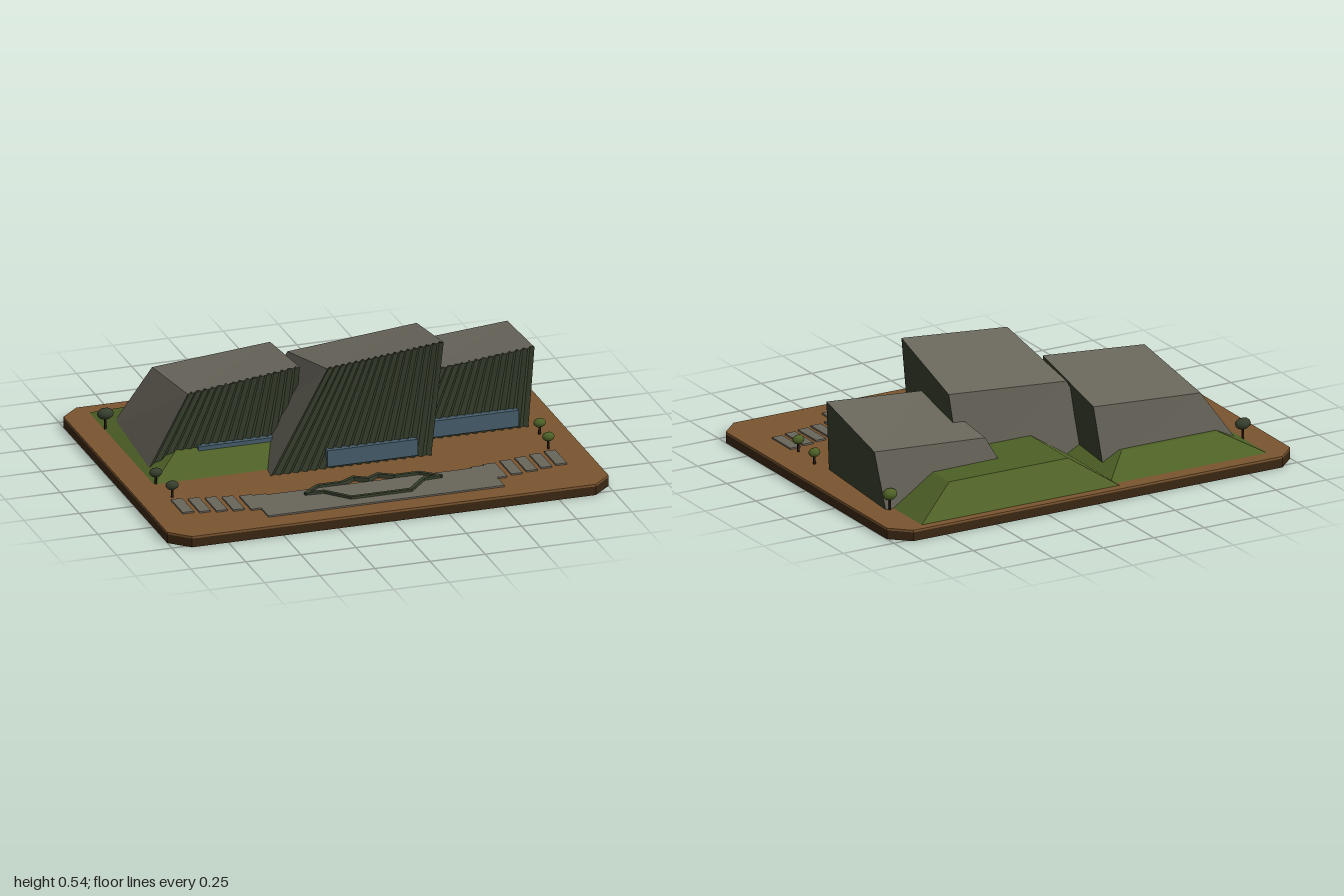
import * as THREE from 'three';

const mat = (name, color) => Object.assign(new THREE.MeshStandardMaterial({ color }), { name });

export function createModel() {
  const soil = mat('brown soil', 0x7b552f);
  const earth = mat('dark earth', 0x3a2713);
  const concrete = mat('warm grey concrete', 0x69665b);
  const cladding = mat('dark green cladding', 0x373f2d);
  const grass = mat('grass green', 0x4e6126);
  const glass = mat('blue grey glass', 0x455c6a);
  const bark = mat('dark bark', 0x241a10);
  const model = new THREE.Group();
  model.name = 'buildingSite';

  const add = (name, geometry, material, parent = model) => {
    const mesh = new THREE.Mesh(geometry, material);
    mesh.name = name;
    parent.add(mesh);
    return mesh;
  };

  // Flat faced surface from a list of four cornered faces
  const faces = (quads) => {
    const g = new THREE.BufferGeometry();
    const pos = quads.flatMap(([a, b, c, d]) => [a, b, c, a, c, d].flat());
    g.setAttribute('position', new THREE.Float32BufferAttribute(pos, 3));
    g.computeVertexNormals();
    return g;
  };

  // Horizontal slab from an outline of [x, z] points
  const slab = (outline, y0, y1) => {
    const shape = new THREE.Shape(outline.map(([x, z]) => new THREE.Vector2(x, -z)));
    return new THREE.ExtrudeGeometry(shape, { depth: y1 - y0, bevelEnabled: false })
      .rotateX(-Math.PI / 2).translate(0, y0, 0);
  };

  // Ground plate with cut corners
  const plate = [[-0.915, 0.77], [0.915, 0.77], [1, 0.69], [1, -0.69],
    [0.915, -0.77], [-0.915, -0.77], [-1, -0.69], [-1, 0.69]];
  add('baseBody', slab(plate, 0, 0.04), earth);
  add('groundTop', slab(plate, 0.04, 0.05), soil);

  // Grass mounds: rectangles [x0, x1, z0, z1] at the foot and the top
  const mound = (name, foot, top, height) => {
    const ring = ([x0, x1, z0, z1], y) => [[x0, y, z1], [x1, y, z1], [x1, y, z0], [x0, y, z0]];
    const a = ring(foot, 0.05), b = ring(top, height);
    const quads = a.map((p, i) => [p, a[(i + 1) % 4], b[(i + 1) % 4], b[i]]);
    add(name, faces([...quads, b]), grass);
  };
  mound('rightMound', [-0.88, -0.1, -0.7, 0.16], [-0.73, -0.25, -0.54, 0.005], 0.125);
  mound('rearMound', [-0.13, 0.85, -0.73, -0.1], [0.06, 0.65, -0.62, -0.25], 0.175);

  // Leaning halls; corners run front left, front right, back right, back left on screen
  const lerp = (a, b, t) => a.map((v, i) => v + (b[i] - v) * t);
  const hall = (name, foot, top, teeth, win) => {
    const group = new THREE.Group();
    group.name = name;
    model.add(group);
    const [FL, FR, BR, BL] = foot.map(([x, z]) => [x, 0.05, z]);
    const [fl, fr, br, bl] = top;
    add('roofAndPlainWalls', faces([
      [fl, fr, br, bl], [BR, BL, bl, br], [BL, FL, fl, bl],
    ]), concrete, group);
    // Front wall folded into upright ribs
    const ribs = [];
    const n = teeth * 2;
    const point = (a, b, i) => {
      const p = lerp(a, b, i / n);
      if (i % 2) p[2] -= 0.016;
      return p;
    };
    for (let i = 0; i < n; i++) {
      ribs.push([point(FL, FR, i), point(FL, FR, i + 1), point(fl, fr, i + 1), point(fl, fr, i)]);
    }
    add('ribbedFront', faces(ribs), cladding, group);
    add('sideWall', faces([[FR, BR, br, fr]]), cladding, group);
    // Long low window
    const [x0, x1, z] = win;
    add('window', new THREE.BoxGeometry(x1 - x0, 0.075, 0.03), glass, group)
      .position.set((x0 + x1) / 2, 0.0985, z - 0.015);
  };
  hall('centreHall',
    [[-0.375, 0.235], [0.352, 0.235], [0.405, -0.3], [-0.3, -0.3]],
    [[-0.1, 0.49, 0.18], [0.43, 0.54, 0.17], [0.47, 0.44, -0.305], [-0.12, 0.39, -0.295]],
    18, [-0.12, 0.29, 0.24]);
  hall('rightHall',
    [[-0.86, 0.015], [-0.21, 0.015], [-0.17, -0.525], [-0.84, -0.525]],
    [[-0.665, 0.37, -0.02], [-0.15, 0.42, -0.04], [-0.12, 0.345, -0.525], [-0.66, 0.305, -0.51]],
    16, [-0.63, -0.25, 0.02]);
  hall('leftHall',
    [[0.22, 0.065], [0.85, 0.065], [0.89, -0.49], [0.25, -0.475]],
    [[0.4, 0.345, 0.015], [0.9, 0.39, 0], [0.94, 0.32, -0.48], [0.385, 0.28, -0.47]],
    16, [0.395, 0.805, 0.07]);

  // Plaza with stepped ends
  const half = [[0.535, 0.67], [0.535, 0.575], [0.58, 0.575], [0.58, 0.415],
    [0.525, 0.415], [0.525, 0.427], [0.465, 0.427], [0.465, 0.44]];
  const mirrored = half.map(([x, z]) => [-x, z]).reverse();
  add('plaza', slab([...half, ...mirrored], 0.05, 0.057), concrete);

  // Stepping slabs leading away on both sides
  for (const side of [-1, 1]) {
    for (let i = 0; i < 4; i++) {
      add('pathSlab', new THREE.BoxGeometry(0.05, 0.007, 0.157), concrete)
        .position.set(side * (0.63 + i * 0.072), 0.0535, 0.48 - i * 0.014);
    }
  }

  // Raised pool rim made of straight kerbs
  const rimHalf = [[0, 0.425], [0.055, 0.39], [0.12, 0.43], [0.23, 0.43],
    [0.305, 0.495], [0.225, 0.5], [0.135, 0.6]];
  const rim = [...rimHalf, ...rimHalf.slice(1).reverse().map(([x, z]) => [-x, z])];
  rim.forEach(([x, z], i) => {
    const [u, w] = rim[(i + 1) % rim.length];
    const kerb = add('poolKerb',
      new THREE.BoxGeometry(Math.hypot(u - x, w - z) + 0.01, 0.018, 0.016), cladding);
    kerb.position.set((x + u) / 2, 0.059, (z + w) / 2);
    kerb.rotation.y = -Math.atan2(w - z, u - x);
  });

  // Small trees along both edges: x, z, crown height, size
  const trees = [[0.875, -0.5, 0.122, 1], [0.87, 0.155, 0.103, 0.8], [0.853, 0.322, 0.106, 0.8]];
  for (const side of [-1, 1]) {
    for (const [x, z, y, s] of trees) {
      const tree = new THREE.Group();
      tree.name = 'tree';
      tree.position.set(side * x, 0, z);
      model.add(tree);
      add('trunk', new THREE.CylinderGeometry(0.005, 0.006, y - 0.05, 6), bark, tree)
        .position.y = (y + 0.05) / 2;
      const crown = add('crown', new THREE.IcosahedronGeometry(0.028 * s, 1),
        side < 0 ? cladding : grass, tree);
      crown.position.y = y;
      crown.scale.set(side < 0 ? 1.35 : 1.25, 0.95, 0.9);
    }
  }
  return model;
}
